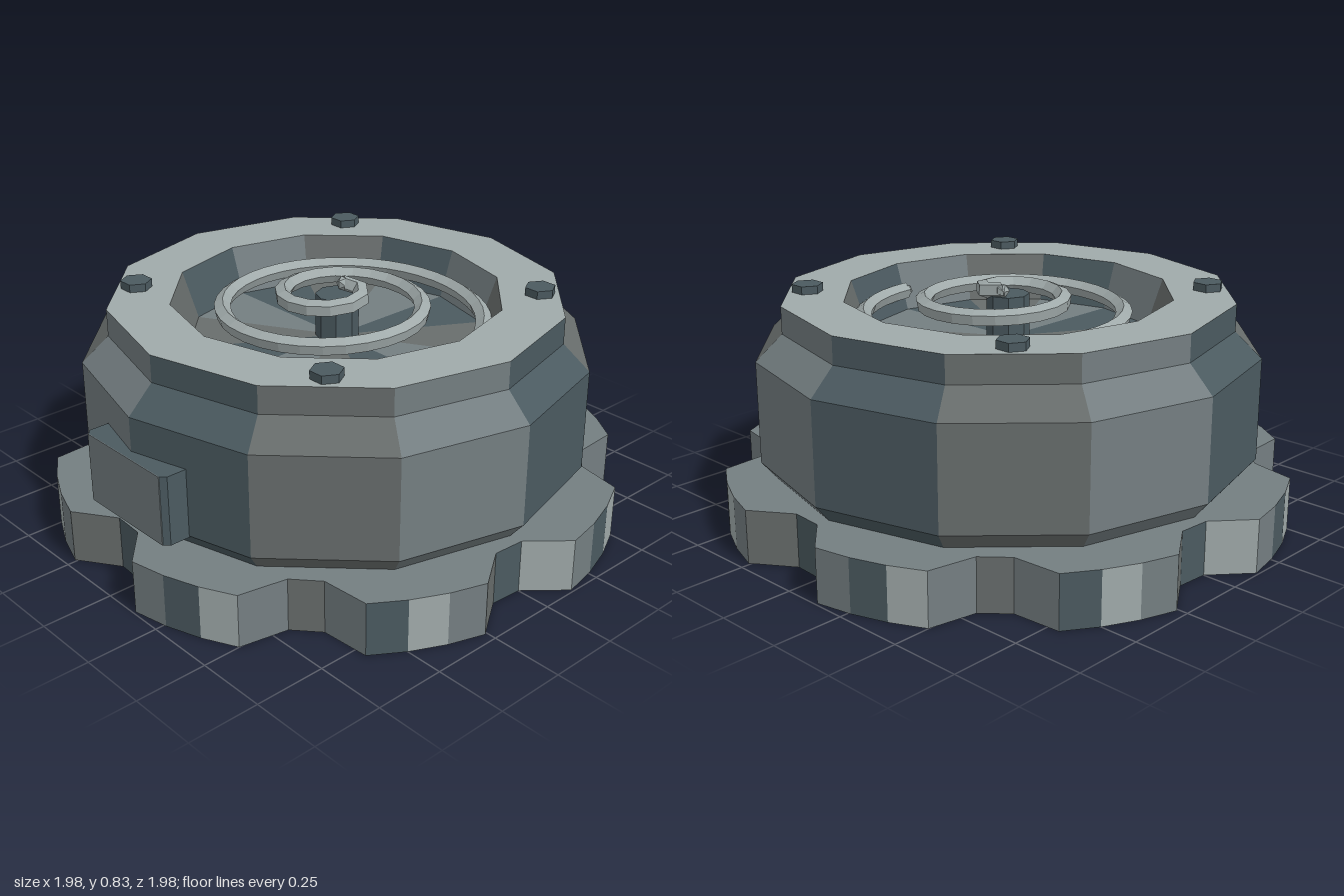
import * as THREE from 'three';

const paint = (name, hex) => {
  const m = new THREE.MeshStandardMaterial({ color: hex });
  m.name = name;
  return m;
};

// Faceted surface swept around y; pick(band, side) gives each facet's material index.
function facets(profile, sides, pick, scale = () => 1) {
  const geo = new THREE.BufferGeometry();
  const pos = [];
  const point = ([r, y], i) => {
    const a = (i / sides) * Math.PI * 2;
    const q = r * scale(i % sides);
    return [q * Math.cos(a), y, q * Math.sin(a)];
  };
  for (let b = 0; b < profile.length - 1; b++) {
    for (let i = 0; i < sides; i++) {
      const A = point(profile[b], i), B = point(profile[b], i + 1);
      const C = point(profile[b + 1], i + 1), D = point(profile[b + 1], i);
      const start = pos.length / 3;
      if (profile[b][0] > 0) pos.push(...B, ...A, ...D);
      if (profile[b + 1][0] > 0) pos.push(...B, ...D, ...C);
      geo.addGroup(start, pos.length / 3 - start, pick(b, i));
    }
  }
  geo.setAttribute('position', new THREE.Float32BufferAttribute(pos, 3));
  geo.computeVertexNormals();
  return geo;
}

// Spiral that climbs towards the centre
class Spiral extends THREE.Curve {
  getPoint(t, target = new THREE.Vector3()) {
    const turns = 2.3 * t;
    const r = 0.53 - 0.21 * turns;
    const a = -turns * Math.PI * 2;
    return target.set(r * Math.cos(a), 0.7 + 0.105 * t, r * Math.sin(a));
  }
}

export function createModel() {
  const group = new THREE.Group();
  const mid = paint('midGrey', 0x747e81);
  const warm = paint('warmGrey', 0x686d6c);
  const dark = paint('darkSteel', 0x4b5a60);
  const light = paint('lightGrey', 0xa0aaaa);
  const mats = [mid, warm, dark, light];

  const add = (name, geo, mat, x = 0, y = 0, z = 0) => {
    const mesh = new THREE.Mesh(geo, mat);
    mesh.name = name;
    mesh.position.set(x, y, z);
    group.add(mesh);
    return mesh;
  };
  const flat = (geo) => {
    const g = geo.toNonIndexed();
    g.computeVertexNormals();
    return g;
  };

  // Notched base plate: eight lobes with a multicoloured rim
  const rim = [2, 1, 0, 3, 2, 0, 1, 0, 3, 2, 0, 3];
  add('basePlate', facets(
    [[0, 0], [1, 0], [1, 0.19], [0, 0.19]], 48,
    (b, i) => (b === 1 ? rim[i % 12] : 0),
    (i) => (i % 6 < 2 ? 0.877 : 1)
  ), mats);

  // Twelve-sided housing with collar, light bezel and recess
  const housing = [
    [0.83, 0.19], [0.88, 0.25], [0.88, 0.61], [0.787, 0.7],
    [0.787, 0.795], [0.575, 0.795], [0.52, 0.63], [0, 0.63],
  ];
  add('housing', facets(housing, 12, (b, i) => {
    if (b === 4) return 3;
    return b === 6 ? 2 - (i % 3) : i % 3;
  }), mats);

  // Spiral coil with closed ends, and its hub
  const path = new Spiral();
  add('spiralCoil', flat(new THREE.TubeGeometry(path, 60, 0.03, 5)), light);
  for (const t of [0, 1]) {
    const p = path.getPoint(t);
    add('coilEnd', flat(new THREE.IcosahedronGeometry(0.027, 0).toNonIndexed()), light, p.x, p.y, p.z);
  }
  add('hub', flat(new THREE.CylinderGeometry(0.075, 0.075, 0.155, 8)), dark, 0, 0.7075, 0);

  // Four hex bolts on the bezel
  for (const x of [-0.49, 0.49]) {
    for (const z of [-0.49, 0.49]) {
      const bolt = add('bolt', flat(new THREE.CylinderGeometry(0.054, 0.054, 0.03, 6)), dark, x, 0.808, z);
      bolt.rotation.y = Math.PI / 6;
    }
  }

  // Front panel: chamfered block with a paler face
  const plan = new THREE.Shape([
    [-0.21, 0.8], [0.21, 0.8], [0.21, 0.895], [0.192, 0.912], [-0.192, 0.912], [-0.21, 0.895],
  ].map(([x, z]) => new THREE.Vector2(x, z)));
  const block = new THREE.ExtrudeGeometry(plan, { depth: 0.245, bevelEnabled: false });
  block.rotateX(Math.PI / 2);
  add('frontPanel', block, dark, 0, 0.49, 0);
  add('frontPanelFace', new THREE.BoxGeometry(0.384, 0.245, 0.004), mid, 0, 0.3675, 0.913);

  return group;
}
